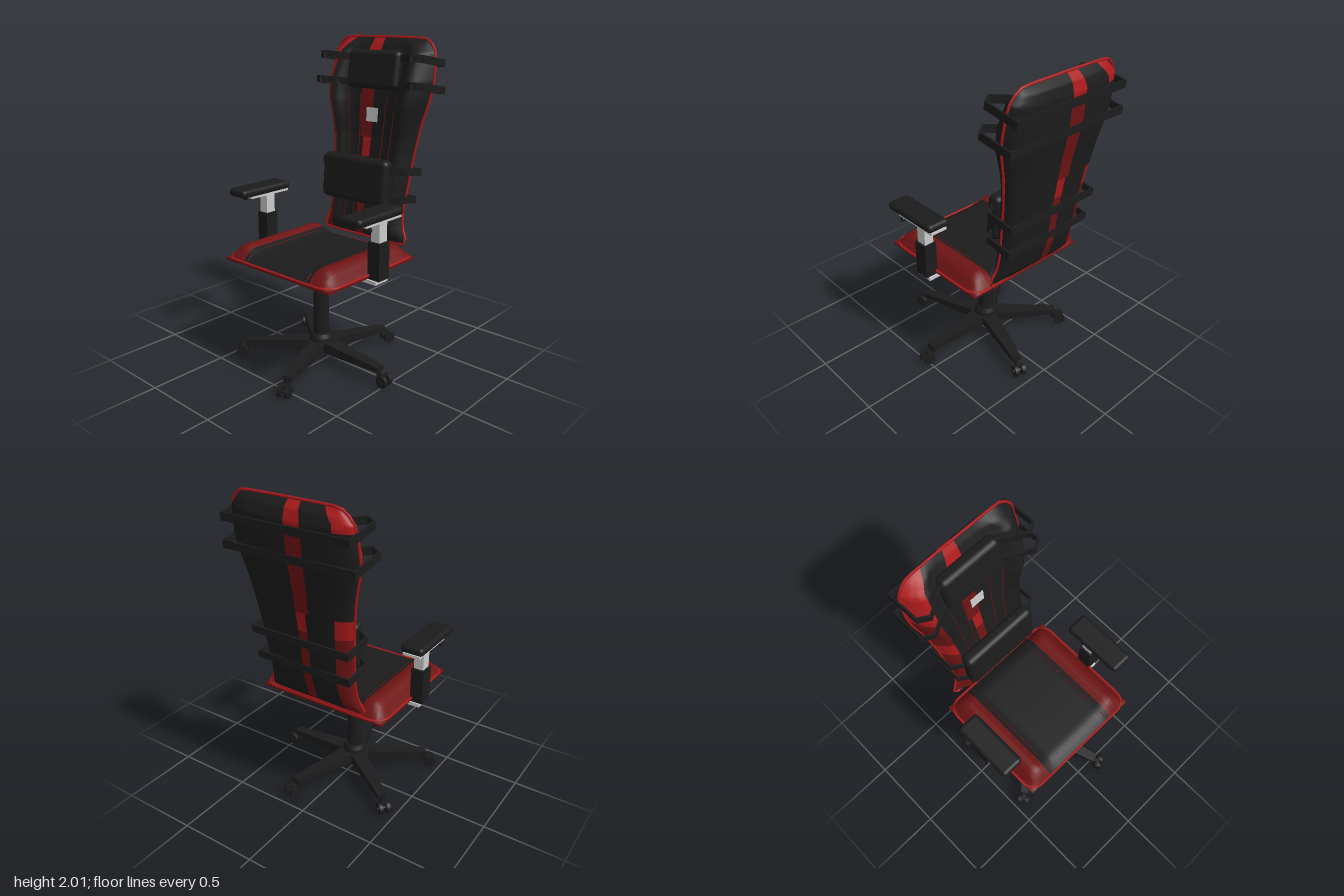
import * as THREE from 'three';
import { RoundedBoxGeometry } from 'three/addons/geometries/RoundedBoxGeometry.js';

const material = (color) => new THREE.MeshStandardMaterial({ color, side: THREE.DoubleSide });
const black = material(0x1c1c1c), darkRed = material(0x6e1414), brightRed = material(0xaa1a1c);
const grey = new THREE.MeshStandardMaterial({ color: 0xcccccc });

// Linear lookup in a short list of [key, value] pairs
function lookup(table, k) {
  for (let i = 1; i < table.length; i++) {
    const [a, p] = table[i - 1], [b, q] = table[i];
    if (k <= b) return p + (q - p) * Math.max(0, (k - a) / (b - a));
  }
  return table[table.length - 1][1];
}

function add(parent, name, geometry, mat, x = 0, y = 0, z = 0) {
  const mesh = new THREE.Mesh(geometry, mat);
  mesh.name = name;
  mesh.position.set(x, y, z);
  parent.add(mesh);
  return mesh;
}
const box = (w, h, d) => new THREE.BoxGeometry(w, h, d);
const cylinder = (r, h, r2 = r) => new THREE.CylinderGeometry(r, r2, h, 24);

// Patch of a surface f(u, v) -> Vector3
function panel(parent, name, f, u0, u1, v0, v1, mat, nu = 12, nv = 16) {
  const g = new THREE.PlaneGeometry(1, 1, nu, nv), p = g.attributes.position;
  for (let i = 0; i < p.count; i++) {
    const q = f(u0 + (p.getX(i) + 0.5) * (u1 - u0), v0 + (p.getY(i) + 0.5) * (v1 - v0));
    p.setXYZ(i, q.x, q.y, q.z);
  }
  g.computeVertexNormals();
  return add(parent, name, g, mat);
}

function tube(parent, name, points, r, closed, mat) {
  const curve = new THREE.CatmullRomCurve3(points, closed, 'catmullrom', 0.2);
  return add(parent, name, new THREE.TubeGeometry(curve, points.length * 4, r, 6, closed), mat);
}

// Flat bar between two points
function band(parent, name, a, b, h, t) {
  const mesh = add(parent, name, box(t, h, a.distanceTo(b) + t), black);
  mesh.position.copy(a).add(b).multiplyScalar(0.5);
  mesh.lookAt(b);
}

// Backrest shape by height: half width, bolster depth, rear depth
const halfWidth = [[0.745, 0.325], [0.85, 0.3], [0.95, 0.29], [1.1, 0.303], [1.3, 0.32], [1.5, 0.35],
  [1.65, 0.388], [1.75, 0.4], [1.92, 0.385], [2, 0.3]];
const frontDepth = [[0.745, 0], [0.8, 0.065], [0.89, 0.075], [1.1, 0.09], [1.4, 0.09], [1.6, 0.138],
  [1.74, 0.135], [1.9, 0.095], [1.96, 0.05], [2, 0]];
const rearDepth = [[0.745, 0], [0.8, 0.06], [0.95, 0.085], [1.2, 0.075], [1.5, 0.075], [1.7, 0.085],
  [1.9, 0.07], [1.96, 0.045], [2, 0]];
const frontSection = [[0, 0.4], [0.4, 0.43], [0.55, 0.62], [0.66, 0.92], [0.74, 1], [0.82, 0.88], [0.92, 0.5], [1, 0]];
const spineZ = (y) => -0.34 - (y - 0.745) * 0.156;
const backSurface = (side, lift = 0) => (u, y) => {
  const a = Math.min(1, Math.abs(u));
  const depth = side > 0 ? lookup(frontSection, a) * lookup(frontDepth, y)
    : Math.sqrt(1 - a ** 4) * lookup(rearDepth, y);
  return new THREE.Vector3(u * lookup(halfWidth, y), y, spineZ(y) + side * (depth + lift));
};

function backrest() {
  const g = new THREE.Group();
  g.name = 'backrest';
  for (const side of [1, -1]) {
    const f = backSurface(side), s = side > 0 ? 'Front' : 'Rear';
    // Each row: bottom, top, stripe edge, stripe colour, bolster colour
    const rows = [
      [0.745, 1.26, -0.19, darkRed, darkRed],
      [1.26, 1.38, -0.19, brightRed, brightRed],
      [1.38, 1.7, -0.26, darkRed, side > 0 ? darkRed : black],
      [1.7, 1.88, -0.26, darkRed, side > 0 ? brightRed : black],
      [1.88, 2, -0.26, brightRed, brightRed],
    ];
    for (const [y0, y1, edge, stripe, bolster] of rows) {
      panel(g, 'bolster' + s, f, -1, -0.74, y0, y1, bolster);
      panel(g, 'cover' + s, f, -0.74, edge, y0, y1, black);
      panel(g, 'stripe' + s, f, edge, 0, y0, y1, stripe, 4);
      panel(g, 'cover' + s, f, 0, 1, y0, y1, black, 24);
    }
  }
  // Piping round the rim
  const rim = [];
  for (const [y] of halfWidth) rim.push(backSurface(1)(1, y));
  for (const [y] of [...halfWidth].reverse()) rim.push(backSurface(1)(-1, y));
  tube(g, 'backPiping', rim, 0.008, true, brightRed);
  // Stitched seams on the front
  for (const u of [-0.5, -0.28, 0.28, 0.5]) {
    const line = [];
    for (let y = 0.85; y < 1.68; y += 0.1) line.push(backSurface(1, 0.001)(u, y));
    tube(g, 'seam', line, 0.0025, false, darkRed);
  }
  panel(g, 'patch', backSurface(1, 0.004), -0.13, 0.13, 1.48, 1.57, grey.clone(), 4, 4).material.side = THREE.DoubleSide;

  // Cushions
  add(g, 'headCushion', new RoundedBoxGeometry(0.4, 0.24, 0.09, 5, 0.035), black, 0, 1.805, -0.435).rotation.x = -0.155;
  add(g, 'lumbarCushion', new RoundedBoxGeometry(0.515, 0.29, 0.09, 5, 0.035), black, 0, 1.135, -0.262).rotation.x = -0.08;

  // Straps: height, half width, front z, rear z, cushion x, cushion z
  const straps = [[1.89, 0.4, -0.37, -0.595, 0.19, -0.44], [1.73, 0.42, -0.35, -0.575, 0.19, -0.42],
    [1.215, 0.325, -0.31, -0.495, 0.24, -0.28], [1.04, 0.312, -0.29, -0.465, 0.24, -0.27]];
  for (const [y, w, zf, zr, cx, cz] of straps) {
    const half = [[cx, cz], [w - 0.06, zf + 0.03], [w, zf - 0.01], [w, zr]];
    const path = [...half, ...half.map(([x, z]) => [-x, z]).reverse()]
      .map(([x, z]) => new THREE.Vector3(x, y + (z - zf) * 0.16, z));
    for (let i = 1; i < path.length; i++) band(g, 'strap', path[i - 1], path[i], 0.045, 0.012);
  }
  return g;
}

function seat() {
  const g = new THREE.Group();
  g.name = 'seat';
  const W = 0.4275, D = 0.39, zc = 0.08;
  const crown = [[0, 0.045], [0.5, 0.047], [0.62, 0.07], [0.72, 0.088], [0.8, 0.085], [0.88, 0.065], [0.96, 0.018], [1, 0]];
  const top = (u, v) => {
    const e = Math.min(1, (1 - Math.abs(v)) / 0.25);
    return new THREE.Vector3(u * W, 0.698 + lookup(crown, Math.abs(u)) * Math.sin(e * Math.PI / 2), zc - v * D);
  };
  const bottom = (u, v) => new THREE.Vector3(u * W, 0.684, zc - v * D);
  for (const f of [top, bottom]) {
    panel(g, 'seatPanel', f, -0.63, 0.63, -1, 1, black, 24, 32);
    for (const s of [-1, 1]) panel(g, 'seatBolster', f, s * 0.63, s, -1, 1, darkRed, 16, 32);
  }
  // Edge wall and piping
  for (const s of [-1, 1]) {
    add(g, 'seatSide', box(0.006, 0.014, 2 * D), darkRed, s * (W - 0.003), 0.691, zc);
    add(g, 'seatEnd', box(2 * W, 0.014, 0.006), darkRed, 0, 0.691, zc + s * (D - 0.003));
    tube(g, 'seatSeam', [-0.97, -0.85, -0.6, 0, 0.6, 0.85, 0.97].map((v) => top(s * 0.57, v)), 0.0025, false, darkRed);
  }
  const rim = [], r = 0.09;
  for (let i = 0; i < 24; i++) {
    const a = Math.floor(i / 6) * Math.PI / 2, t = a + (i % 6) / 5 * Math.PI / 2, m = a + Math.PI / 4;
    rim.push(new THREE.Vector3(Math.sign(Math.cos(m)) * (W - r) + Math.cos(t) * r, 0.704,
      zc + Math.sign(Math.sin(m)) * (D - r) + Math.sin(t) * r));
  }
  tube(g, 'seatPiping', rim, 0.008, true, brightRed);
  return g;
}

function armrest(side) {
  const g = new THREE.Group();
  g.name = side > 0 ? 'leftArmrest' : 'rightArmrest';
  const x = side * 0.46;
  add(g, 'armPad', new RoundedBoxGeometry(0.147, 0.052, 0.4, 4, 0.024), black, x, 1.07, 0.145);
  add(g, 'padPlate', box(0.11, 0.016, 0.315), grey, x, 1.038, 0.108);
  add(g, 'armPost', box(0.062, 0.14, 0.068), grey, x, 0.965, 0.085);
  add(g, 'armSleeve', box(0.084, 0.225, 0.092), black, x, 0.792, 0.085);
  add(g, 'armBar', box(0.34, 0.022, 0.11), grey, side * 0.315, 0.667, 0.085);
  add(g, 'padKnob', cylinder(0.013, 0.025), black, side * 0.505, 1.012, 0.23).rotation.z = Math.PI / 2;
  return g;
}

function leg(angle) {
  const g = new THREE.Group();
  g.name = 'leg';
  // Arm tapering outward in width and height
  const arm = box(0.5, 1, 1), p = arm.attributes.position;
  for (let i = 0; i < p.count; i++) {
    const out = p.getX(i) > 0, up = p.getY(i) > 0;
    p.setXYZ(i, out ? 0.48 : 0, out ? (up ? 0.117 : 0.086) : (up ? 0.155 : 0.08), Math.sign(p.getZ(i)) * (out ? 0.028 : 0.055));
  }
  arm.computeVertexNormals();
  add(g, 'legArm', arm, black);
  // Twin wheel caster
  add(g, 'casterStem', cylinder(0.014, 0.06), black, 0.47, 0.075, 0);
  add(g, 'casterHood', box(0.045, 0.035, 0.022), black, 0.49, 0.055, 0);
  add(g, 'casterAxle', cylinder(0.011, 0.084), black, 0.51, 0.037, 0).rotation.x = Math.PI / 2;
  for (const s of [-1, 1]) add(g, 'casterWheel', cylinder(0.037, 0.024), black, 0.51, 0.037, s * 0.024).rotation.x = Math.PI / 2;
  g.rotation.y = angle;
  return g;
}

function base() {
  const g = new THREE.Group();
  g.name = 'base';
  for (let i = 0; i < 5; i++) g.add(leg(i * Math.PI * 2 / 5));
  add(g, 'hub', cylinder(0.075, 0.09, 0.085), black, 0, 0.125, 0);
  add(g, 'hubCollar', cylinder(0.06, 0.03, 0.075), black, 0, 0.18, 0);
  add(g, 'column', cylinder(0.049, 0.32), black, 0, 0.347, 0);
  add(g, 'pistonSleeve', cylinder(0.03, 0.09), black, 0, 0.54, 0);
  add(g, 'piston', cylinder(0.024, 0.09), grey, 0, 0.615, 0);
  for (let i = 0; i < 4; i++) add(g, 'bellowsRing', new THREE.TorusGeometry(0.034, 0.009, 8, 24), black, 0, 0.515 + i * 0.022, 0).rotation.x = Math.PI / 2;
  g.position.z = 0.07;
  return g;
}

function mechanism() {
  const g = new THREE.Group();
  g.name = 'mechanism';
  add(g, 'mountPlate', box(0.31, 0.02, 0.375), grey, 0, 0.665, 0.052);
  add(g, 'tensionBarrel', cylinder(0.029, 0.31), grey, 0, 0.628, 0.055).rotation.z = Math.PI / 2;
  add(g, 'tiltKnob', new THREE.CapsuleGeometry(0.014, 0.045, 4, 16), black, 0.05, 0.625, -0.14);
  return g;
}

export function createModel() {
  const model = new THREE.Group();
  model.name = 'officeChair';
  const chair = new THREE.Group();
  chair.name = 'chair';
  chair.add(base(), mechanism(), seat(), backrest(), armrest(1), armrest(-1));
  chair.position.x = -0.013;
  model.add(chair);
  return model;
}
